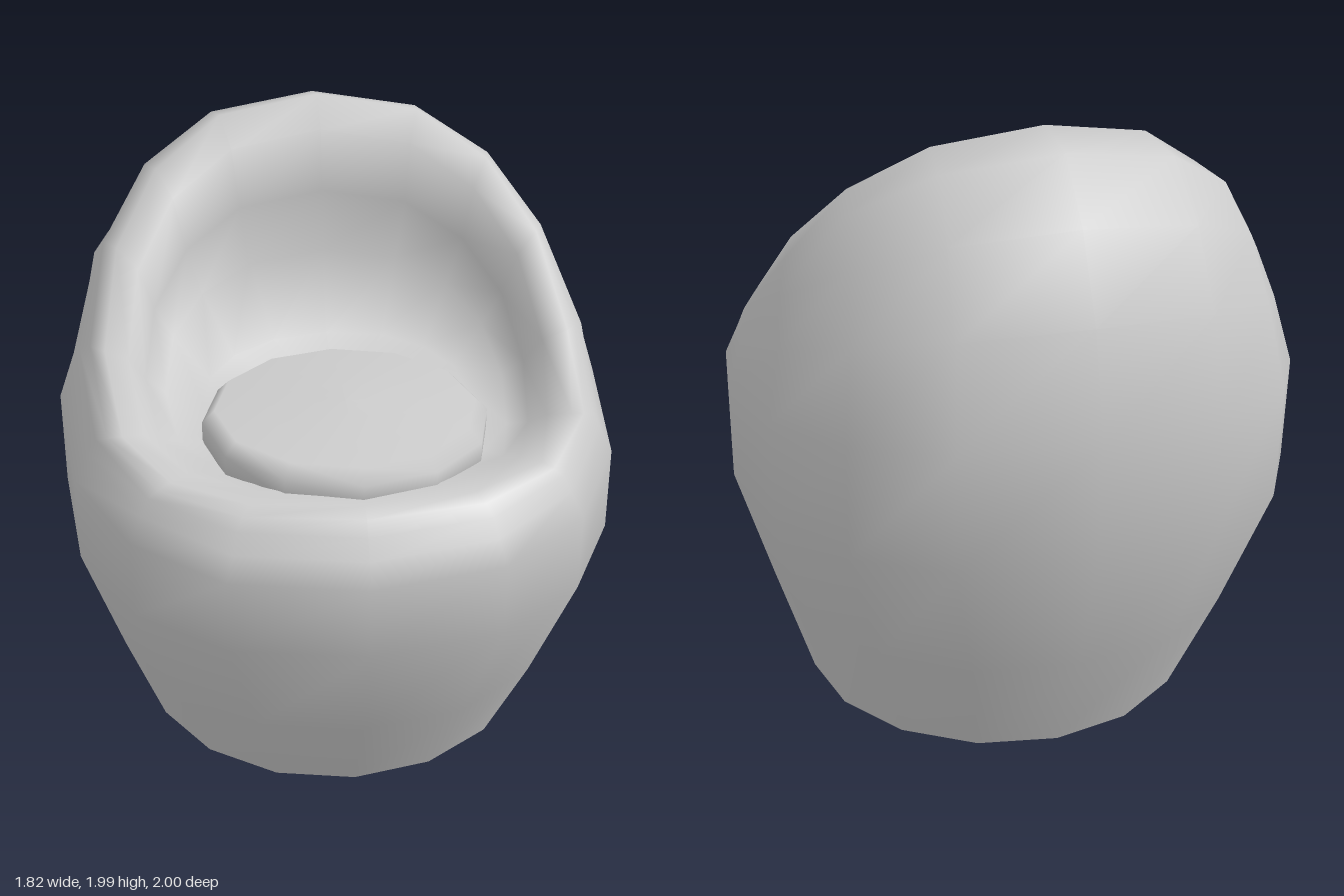
import * as THREE from 'three';

const SIDES = 16;

// Each ring: front [z, y], side [x, z, y], back [z, y], roundness exponent (1 = ellipse, lower = squarer)
const RINGS = [
  // outer shell, floor to shoulder
  { front: [0.67, 0], side: [0.67, 0, 0], back: [-0.67, 0], e: 1 },
  { front: [0.86, 0.35], side: [0.79, 0, 0.39], back: [-0.86, 0.4], e: 0.92 },
  { front: [1.0, 0.73], side: [0.91, -0.04, 0.8], back: [-0.98, 0.82], e: 0.83 },
  { front: [1.0, 0.96], side: [0.91, -0.05, 1.11], back: [-1.0, 1.2], e: 0.83 },
  { front: [0.96, 1.03], side: [0.86, -0.02, 1.25], back: [-0.92, 1.52], e: 0.83 },
  { front: [0.92, 1.09], side: [0.83, 0.04, 1.33], back: [-0.8, 1.77], e: 0.83 },
  { front: [0.89, 1.13], side: [0.79, 0.11, 1.36], back: [-0.65, 1.95], e: 0.83 },
  // crest of arms and back
  { front: [0.85, 1.155], side: [0.74, 0.2, 1.38], back: [-0.47, 1.99], e: 0.83 },
  // hollow inside
  { front: [0.78, 1.16], side: [0.67, 0.16, 1.33], back: [-0.36, 1.9], e: 0.83 },
  { front: [0.72, 1.15], side: [0.62, 0.12, 1.24], back: [-0.32, 1.7], e: 0.83 },
  { front: [0.64, 1.14], side: [0.56, 0.08, 1.17], back: [-0.34, 1.48], e: 0.83 },
  { front: [0.5, 1.13], side: [0.44, 0.12, 1.14], back: [-0.2, 1.23], e: 0.9 },
];

const power = (v, e) => (Math.abs(v) < 1e-6 ? 0 : Math.sign(v) * Math.abs(v) ** e);

function ringPoint({ front, side, back, e }, i) {
  const a = (i / SIDES) * Math.PI * 2;
  const s = power(Math.sin(a), e);
  const c = power(Math.cos(a), e);
  const [x, zMid, yMid] = side;
  const z = zMid + (c > 0 ? front[0] - zMid : zMid - back[0]) * c;
  const y = yMid + ((front[1] - back[1]) / 2) * c + ((front[1] + back[1]) / 2 - yMid) * c * c;
  return [x * s, y, z];
}

function geometryFrom(positions, indices) {
  const g = new THREE.BufferGeometry();
  g.setAttribute('position', new THREE.Float32BufferAttribute(positions, 3));
  g.setIndex(indices);
  g.computeVertexNormals();
  return g;
}

function shellGeometry() {
  const pos = [];
  const idx = [];
  for (const ring of RINGS) for (let i = 0; i < SIDES; i++) pos.push(...ringPoint(ring, i));
  for (let r = 0; r < RINGS.length - 1; r++) {
    for (let i = 0; i < SIDES; i++) {
      const j = (i + 1) % SIDES;
      const a = r * SIDES + i, b = r * SIDES + j;
      idx.push(a, b, b + SIDES, a, b + SIDES, a + SIDES);
    }
  }
  // close the seat floor
  const last = (RINGS.length - 1) * SIDES;
  const centre = pos.length / 3;
  pos.push(0, 1.13, 0.17);
  for (let i = 0; i < SIDES; i++) idx.push(last + i, last + ((i + 1) % SIDES), centre);
  return geometryFrom(pos, idx);
}

function baseGeometry() {
  const pos = [0, 0, 0];
  const idx = [];
  for (let i = 0; i < SIDES; i++) {
    pos.push(...ringPoint(RINGS[0], i));
    idx.push(0, 1 + ((i + 1) % SIDES), 1 + i);
  }
  return geometryFrom(pos, idx);
}

export function createModel() {
  const group = new THREE.Group();
  group.name = 'tubChair';
  const material = new THREE.MeshStandardMaterial({ color: 0xcccccc });
  const add = (name, geometry) => {
    const mesh = new THREE.Mesh(geometry, material);
    mesh.name = name;
    group.add(mesh);
    return mesh;
  };

  add('shell', shellGeometry());
  add('underside', baseGeometry());

  // round seat cushion, slightly domed
  const profile = [[0, 1.06], [0.42, 1.06], [0.45, 1.14], [0.45, 1.2], [0.41, 1.24], [0, 1.255]]
    .map(([x, y]) => new THREE.Vector2(x, y));
  add('seatCushion', new THREE.LatheGeometry(profile, 12)).position.z = 0.37;

  return group;
}
